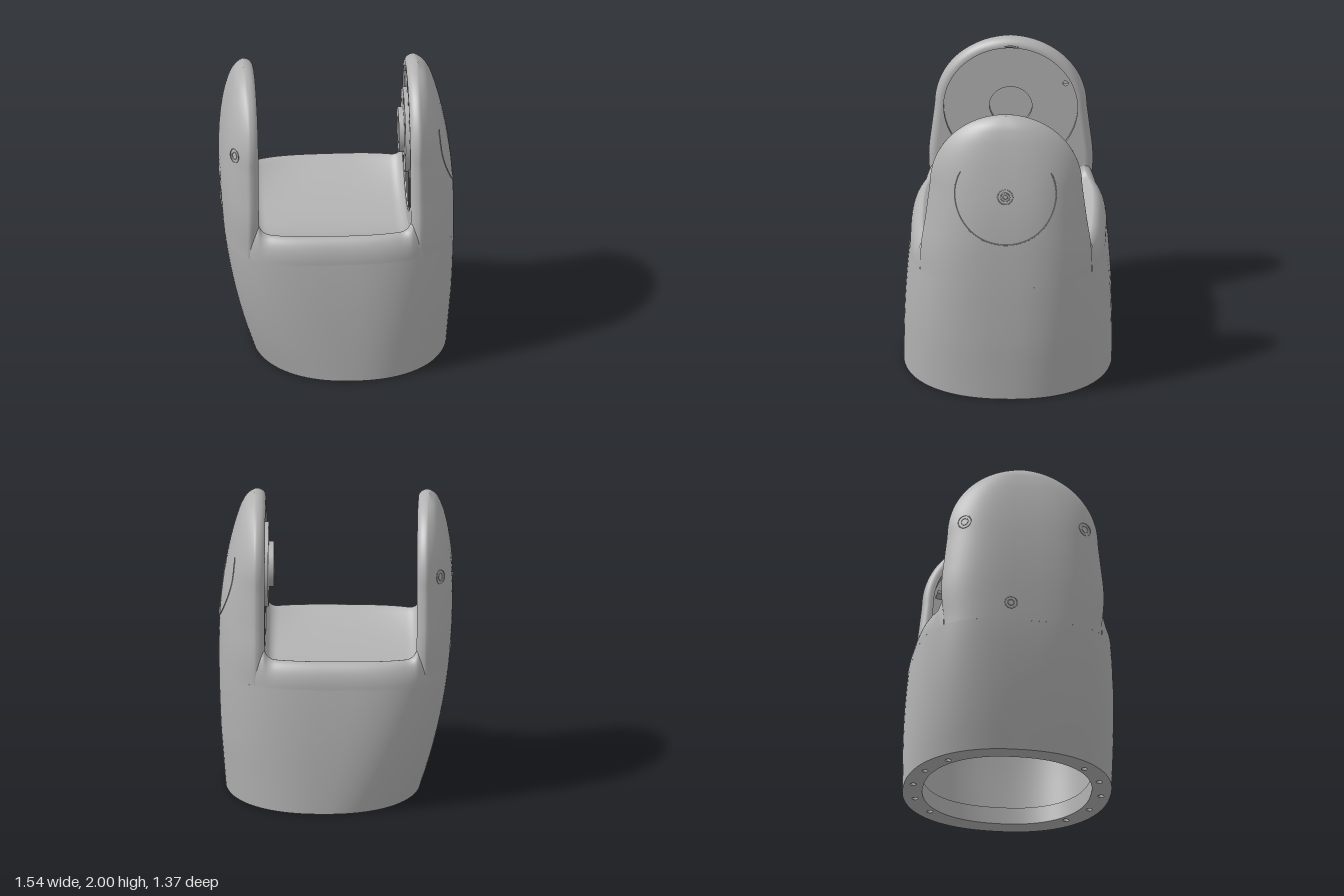
import * as THREE from 'three';

const HINGE = 1.5; // height of the joint axis
const SPLIT = 0.85; // height where the arms and saddle leave the lower shell
const DOME = 0.5; // radius of the arm tops
const RIM = 0.05, RIM_X = 0.065; // rounding of the arms' inner rims
const FACE = { '-1': -0.54, 1: 0.46 }; // inner faces of the fork
const YS = [0, 0.2, 0.4, 0.6, 0.8, 1, 1.2, 1.4, 1.6, 1.8, 1.9, 1.96, 2];
const table = (values) => {
  const f = new THREE.CubicInterpolant(YS, values, 1);
  return (y) => f.evaluate(y)[0];
};
// Outer edges by height
const edgeR = table([-0.56, -0.62, -0.67, -0.71, -0.74, -0.758, -0.769, -0.769, -0.755, -0.72, -0.69, -0.66, -0.615]);
const edgeL = table([0.725, 0.74, 0.755, 0.763, 0.768, 0.768, 0.762, 0.742, 0.705, 0.655, 0.62, 0.585, 0.535]);

const section = (y, side) => ({
  cx: (edgeL(y) + edgeR(y)) / 2,
  hx: (edgeL(y) - edgeR(y)) / 2,
  hz: 0.685 - 0.048 * Math.pow(Math.min(y, 0.9) / 0.9, 2.5),
  p: 2.25 + (side > 0 ? 0.65 : 1.1) * Math.min(1, y / SPLIT),
});
const falloff = (u, p) => Math.pow(Math.max(0, 1 - Math.pow(Math.min(1, Math.abs(u)), p)), 1 / p);
const bodyZ = (y, x) => {
  const s = section(y, x);
  return s.hz * falloff((x - s.cx) / s.hx, s.p);
};

// Fork arm cross-section data at one height; side +1 is the model's left
function armSection(side, y) {
  const s = section(y, side);
  const xr = FACE[side] + side * RIM_X;
  const ur = Math.abs((xr - s.cx) / s.hx);
  const up = y - HINGE;
  const dome = up > 0 ? Math.sqrt(Math.max(0, DOME ** 2 - up ** 2)) : DOME - 0.12 * up;
  const zh = THREE.MathUtils.lerp(bodyZ(SPLIT, xr), dome, THREE.MathUtils.smoothstep(y, SPLIT, 1.25));
  const zin = up > 0 ? Math.sqrt(Math.max(0, (DOME - RIM) ** 2 - up ** 2)) : zh - RIM;
  // Distance from the inner plane across the rounded rim
  const inset = (z) => {
    const q = up > 0 ? (Math.hypot(z, up) - DOME + RIM) / RIM : (z - zin) / RIM;
    return RIM_X * (1 - Math.sqrt(Math.max(0, 1 - Math.max(0, q) ** 2)));
  };
  return { ...s, ur, zh, zin, inset, k: falloff(ur, s.p) };
}
function armX(side, y, z) {
  const a = armSection(side, y);
  return a.cx + side * a.hx * falloff((Math.abs(z) / a.zh) * a.k, a.p);
}

// Smooth surface through rows of points
function loft(rows, closed) {
  const n = rows[0].length, index = [];
  for (let j = 0; j < rows.length - 1; j++)
    for (let i = 0; i < (closed ? n : n - 1); i++) {
      const a = j * n + i, b = j * n + ((i + 1) % n);
      index.push(a, a + n, b, b, a + n, b + n);
    }
  const g = new THREE.BufferGeometry();
  g.setAttribute('position', new THREE.Float32BufferAttribute(rows.flat(2), 3));
  g.setIndex(index);
  g.computeVertexNormals();
  return g;
}
function outline(y, scale = 1, n = 112) {
  return Array.from({ length: n }, (_, i) => {
    const t = (i / n) * Math.PI * 2, c = Math.cos(t), d = Math.sin(t), s = section(y, c);
    return [
      s.cx + scale * s.hx * Math.sign(c) * Math.pow(Math.abs(c), 2 / s.p), y,
      scale * s.hz * Math.sign(d) * Math.pow(Math.abs(d), 2 / s.p),
    ];
  });
}
const circle = (x, y, r) => new THREE.Path().absarc(x, y, r, 0, Math.PI * 2, true);
const disc = (r) => new THREE.Shape().absarc(0, 0, r, 0, Math.PI * 2);

// Arched opening of the ribbed well, around the joint axis
function wellOutline() {
  const pts = [], low = Math.atan2(-0.28, 0.46), r = Math.hypot(0.28, 0.46);
  for (let i = 0; i <= 40; i++) {
    const a = (i / 40) * Math.PI;
    pts.push(new THREE.Vector2(0.43 * Math.cos(a), 0.42 * Math.sin(a)));
  }
  for (let i = 0; i <= 24; i++) {
    const a = THREE.MathUtils.lerp(-Math.PI - low, low, i / 24);
    pts.push(new THREE.Vector2(r * Math.cos(a), r * Math.sin(a)));
  }
  return pts;
}

export function createModel() {
  const model = new THREE.Group();
  const grey = new THREE.MeshStandardMaterial({ color: 0xb2b2b2, side: THREE.DoubleSide });
  grey.name = 'grey shell';
  const add = (name, geometry) => {
    const m = new THREE.Mesh(geometry, grey);
    m.name = name;
    model.add(m);
    return m;
  };
  // Flat plate lying in the arm plane, centred on the joint axis
  const plate = (name, shape, x, depth) => {
    const g = new THREE.ExtrudeGeometry(shape, { depth, bevelEnabled: false, curveSegments: 40 });
    add(name, g.rotateY(Math.PI / 2).translate(x, HINGE, 0));
  };

  // Lower shell
  add('lowerShell', loft(Array.from({ length: 18 }, (_, j) => outline(j * SPLIT / 17)), true));

  // Hollow inside: flange, step, cavity wall and a ceiling that follows the saddle
  const ceiling = (scale) => outline(SPLIT, scale).map(([x, , z]) => [x, 0.76 + 0.6 * z * z, z]);
  add('baseFlange', loft([outline(0, 0.81), outline(0.12, 0.81)], true));
  add('flangeStep', loft([outline(0.12, 0.81), outline(0.12, 0.9)], true));
  add('cavityWall', loft([...Array.from({ length: 9 }, (_, j) => outline(0.12 + j * 0.0725, 0.9)), ceiling(0.9)], true));
  add('cavityCeiling', loft([0.9, 0.7, 0.5, 0.3, 0.1, 0.001].map(ceiling), true));
  for (const s of [-1, 1])
    add('cavityRib', new THREE.BoxGeometry(0.03, 0.66, 0.08).translate(-0.2, 0.45, s * 0.55));

  // Bottom ring with two arcs of screw holes
  const ring = new THREE.Shape(outline(0).map(([x, , z]) => new THREE.Vector2(x, z)));
  ring.holes.push(new THREE.Path(outline(0, 0.81).map(([x, , z]) => new THREE.Vector2(x, z))));
  const s0 = section(0, 1);
  for (const side of [-1, 1])
    for (let i = -2; i <= 2; i++) {
      const a = side * Math.PI / 2 + i * 0.38;
      const x = s0.cx + Math.cos(a) * s0.hx * 0.91, z = Math.sin(a) * s0.hz * 0.91;
      ring.holes.push(circle(x, z, 0.02));
      add('screwBore', new THREE.CylinderGeometry(0.02, 0.02, 0.08, 14, 1, true).translate(x, 0.04, z));
    }
  add('baseRing', new THREE.ShapeGeometry(ring, 14).rotateX(Math.PI / 2));

  // Saddle between the arms: softly rounded lips and a hollow floor
  const rows = [];
  for (let i = 0; i <= 72; i++) {
    const x = THREE.MathUtils.lerp(-0.6, 0.52, (1 - Math.cos((i / 72) * Math.PI)) / 2);
    const d = Math.max(0, Math.min(x - FACE[-1], FACE[1] - x)), r = 0.07;
    const rise = d < r ? r - Math.sqrt(r * r - (r - d) ** 2) : 0;
    const lip = 0.09, zl = bodyZ(SPLIT, x) - lip, half = [];
    for (let k = 0; k <= 12; k++) {
      const a = (k / 12) * Math.PI / 2;
      half.push([x, SPLIT + (1.02 - SPLIT + rise) * Math.sin(a), zl + lip * Math.cos(a)]);
    }
    for (let k = 1; k <= 16; k++) {
      const t = 1 - k / 16;
      half.push([x, 1.02 + rise - 0.2 * (1 - t * t), zl * t]);
    }
    rows.push([...half, ...half.slice(0, -1).reverse().map(([a, b, c]) => [a, b, -c])]);
  }
  add('saddle', loft(rows, false));

  // Fork arms
  for (const side of [-1, 1]) {
    const name = side > 0 ? 'leftArm' : 'rightArm';
    const heights = Array.from({ length: 47 }, (_, j) => SPLIT + (2 - SPLIT) * Math.sin((j / 46) * Math.PI / 2));
    const armRows = heights.map((y) => {
      const a = armSection(side, y), half = [];
      for (let k = 0; k <= 8; k++) {
        const z = THREE.MathUtils.lerp(a.zin, a.zh, Math.sin((k / 8) * Math.PI / 2));
        half.push([FACE[side] + side * a.inset(z), y, z]);
      }
      const t0 = Math.asin(Math.min(1, Math.pow(a.ur, a.p / 2)));
      for (let k = 1; k <= 24; k++) {
        const t = THREE.MathUtils.lerp(t0, Math.PI / 2, k / 24);
        const z = k === 24 ? 0 : a.zh * Math.pow(Math.cos(t) / Math.cos(t0), 2 / a.p);
        half.push([a.cx + side * a.hx * Math.pow(Math.sin(t), 2 / a.p), y, z]);
      }
      return [...half, ...half.slice(0, -1).reverse().map(([x, b, z]) => [x, b, -z])];
    });
    add(name + 'Shell', loft(armRows, false));

    // Flat inner face with a recess cut into it
    const edge = armRows.map((row) => [row[0][2], row[0][1]]).filter(([z]) => z > 0);
    const pts = [[edge[0][0], 0.8], ...edge, [0, HINGE + DOME - RIM],
      ...edge.slice().reverse().map(([z, y]) => [-z, y]), [-edge[0][0], 0.8]];
    const face = new THREE.Shape(pts.map(([z, y]) => new THREE.Vector2(z, y - HINGE)));
    const opening = side > 0 ? wellOutline() : disc(0.44).getSpacedPoints(72).slice(0, -1);
    face.holes.push(new THREE.Path(opening));
    add(name + 'InnerFace', new THREE.ShapeGeometry(face).rotateY(side * -Math.PI / 2).translate(FACE[side], HINGE, 0));
    const depth = side > 0 ? 0.1 : 0.025;
    add(name + 'RecessWall', loft([0, depth].map((e) =>
      opening.map((v) => [FACE[side] + side * e, HINGE + v.y, v.x])), true));
  }

  // Right arm: cover disc with a round dish, a pin hole and a small slot
  const cover = disc(0.44);
  cover.holes.push(circle(0, 0, 0.14), circle(0.36, 0.17, 0.018));
  cover.holes.push(new THREE.Path([[-0.2, -0.2], [-0.12, -0.27], [-0.18, -0.34], [-0.26, -0.27]]
    .map(([a, b]) => new THREE.Vector2(a, b))));
  plate('coverDisc', cover, -0.59, 0.025);
  plate('coverBacking', disc(0.41), -0.6, 0.008);

  // Left arm: ribbed well with bearing plate and hub
  plate('wellFloor', new THREE.Shape(wellOutline()), 0.555, 0.008);
  const bearing = disc(0.28);
  bearing.holes.push(circle(0, 0, 0.09));
  for (let i = 0; i < 6; i++) {
    const a = (i / 6) * Math.PI * 2 + 0.5;
    bearing.holes.push(circle(0.215 * Math.cos(a), 0.215 * Math.sin(a), 0.028));
  }
  plate('bearingPlate', bearing, 0.44, 0.115);
  const hub = disc(0.15);
  hub.holes.push(circle(0, 0, 0.09));
  plate('hub', hub, 0.405, 0.04);
  for (let i = -4; i <= 4; i++) {
    const z = i * 0.1;
    const low = -Math.sqrt(0.535 ** 2 - z * z), high = -Math.sqrt(Math.max(0, 0.275 ** 2 - z * z)) - (Math.abs(i) > 2 ? 0.2 : 0);
    add('wellSlat', new THREE.BoxGeometry(0.09, high - low, 0.016).translate(0.51, HINGE + (low + high) / 2, z));
  }
  for (let i = 0; i < 7; i++)
    add('wellSpoke', new THREE.BoxGeometry(0.09, 0.14, 0.018).translate(0.51, 0.342, 0)
      .rotateX((i - 3) * 0.45).translate(0, HINGE, 0));

  // Fine seam on the left arm's outside
  const seam = Array.from({ length: 61 }, (_, i) => {
    const a = 2.68 + (i / 60) * 4.08;
    const y = HINGE + 0.335 * Math.sin(a), z = 0.335 * Math.cos(a);
    return new THREE.Vector3(armX(1, y, z), y, z);
  });
  add('coverSeam', new THREE.TubeGeometry(new THREE.CatmullRomCurve3(seam), 120, 0.004, 6));

  // Screw seats set flush on the outer faces
  const seat = (name, side, y, z, radii) => {
    const p = (dy, dz) => new THREE.Vector3(armX(side, y + dy, z + dz), y + dy, z + dz);
    const n = p(0.02, 0).sub(p(-0.02, 0)).cross(p(0, 0.02).sub(p(0, -0.02))).normalize();
    if (n.x * side < 0) n.negate();
    for (const r of radii) {
      const m = add(name, new THREE.TorusGeometry(r, 0.003, 6, 28));
      m.position.copy(p(0, 0));
      m.quaternion.setFromUnitVectors(new THREE.Vector3(0, 0, 1), n);
    }
  };
  seat('axisScrew', 1, HINGE, 0, [0.05, 0.03, 0.014]);
  for (const z of [-0.4, 0.4]) seat('sideScrew', -1, 1.56, z, [0.046, 0.024]);
  seat('lowerScrew', -1, 0.97, -0.1, [0.04, 0.02]);

  return model;
}
